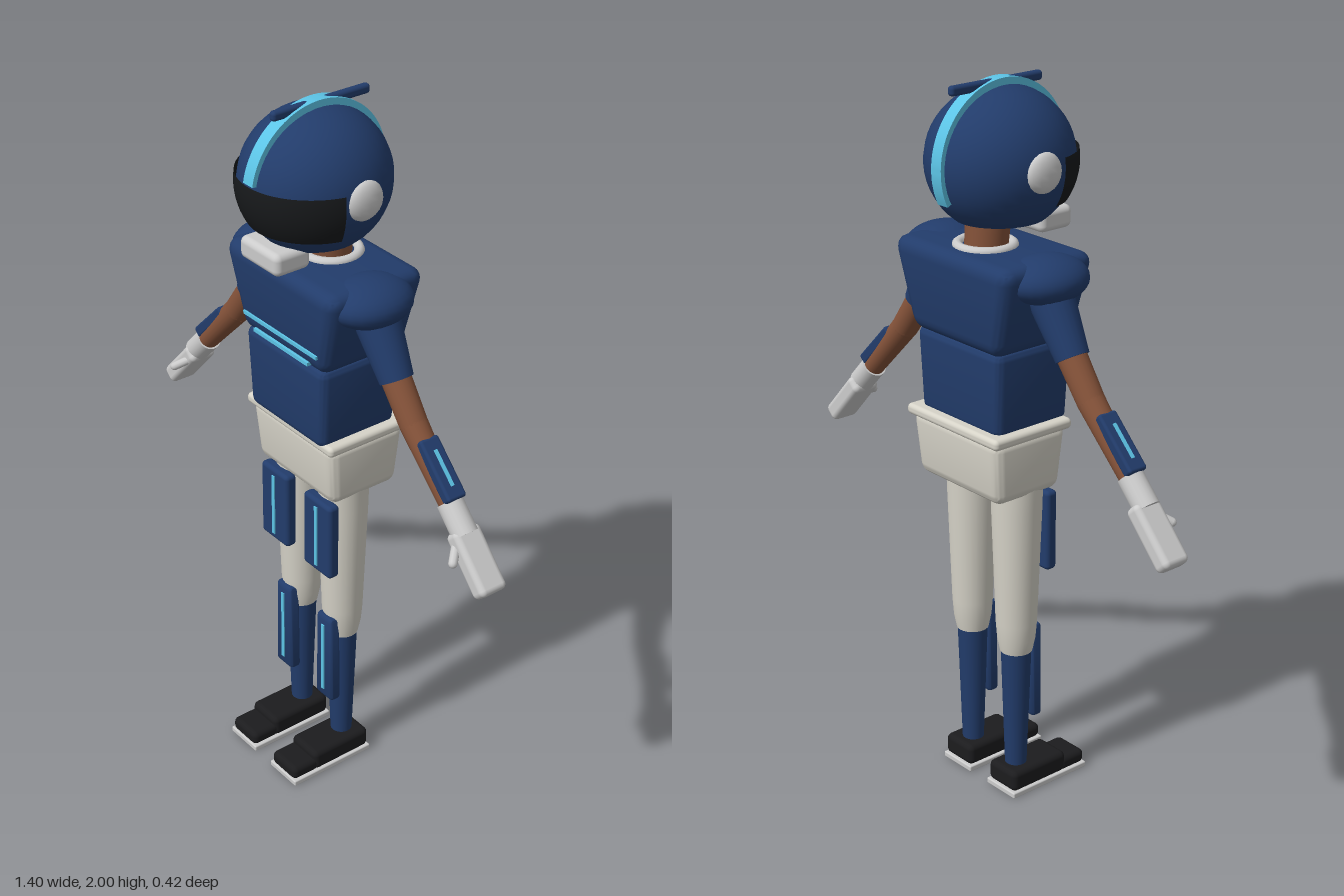
import * as THREE from 'three';
import { RoundedBoxGeometry } from 'three/addons/geometries/RoundedBoxGeometry.js';
import { mergeVertices, toCreasedNormals } from 'three/addons/utils/BufferGeometryUtils.js';

const mat = (color) => new THREE.MeshStandardMaterial({ color });
const navy = mat(0x223c6b), cyan = mat(0x5cc4e6), skin = mat(0x845239);
const cloth = mat(0xd6d3c8), white = mat(0xdadad8), black = mat(0x1c1c1e);
const visorMat = mat(0x17191b);
visorMat.side = THREE.DoubleSide;

const v = (x, y, z) => new THREE.Vector3(x, y, z);

function add(parent, name, geometry, material, x = 0, y = 0, z = 0) {
  const mesh = new THREE.Mesh(geometry, material);
  mesh.name = name;
  mesh.position.set(x, y, z);
  parent.add(mesh);
  return mesh;
}

// Rounded box whose bottom is scaled by bx, bz relative to its top
function taperedBox(w, h, d, r, bx = 1, bz = 1) {
  let g = new RoundedBoxGeometry(w, h, d, 3, r);
  if (bx === 1 && bz === 1) return g;
  const p = g.attributes.position;
  for (let i = 0; i < p.count; i++) {
    const t = 0.5 - p.getY(i) / h;
    p.setX(i, p.getX(i) * (1 + (bx - 1) * t));
    p.setZ(i, p.getZ(i) * (1 + (bz - 1) * t));
  }
  g.deleteAttribute('normal');
  g.deleteAttribute('uv');
  g = mergeVertices(g, 1e-5);
  return toCreasedNormals(g, 0.6);
}

// Round limb from a to b with radii ra and rb
function limb(parent, name, a, b, ra, rb, material) {
  const mesh = add(parent, name, new THREE.CylinderGeometry(rb, ra, a.distanceTo(b), 20), material);
  mesh.position.copy(a).add(b).multiplyScalar(0.5);
  mesh.quaternion.setFromUnitVectors(v(0, 1, 0), b.clone().sub(a).normalize());
  return mesh;
}

function ellipsoid(rx, ry, rz) {
  return new THREE.SphereGeometry(1, 24, 16).scale(rx, ry, rz);
}

function makeHead() {
  const head = new THREE.Group();
  head.name = 'head';
  head.position.y = 1.79;

  // Shell cut flat at the neck
  const cut = 2.48;
  add(head, 'helmetShell',
    new THREE.SphereGeometry(1, 32, 20, 0, Math.PI * 2, 0, cut).scale(0.19, 0.192, 0.2), navy);
  add(head, 'helmetBase',
    new THREE.CircleGeometry(Math.sin(cut), 32).rotateX(Math.PI / 2).scale(0.19, 1, 0.2),
    navy, 0, 0.192 * Math.cos(cut), 0);
  add(head, 'visor',
    new THREE.SphereGeometry(1, 32, 8, 0.25, Math.PI - 0.5, 1.42, 0.69).scale(0.197, 0.197, 0.208), visorMat);

  // Crest band running from brow to nape
  const arc = new THREE.Shape();
  arc.absarc(0, 0, 0.21, 0.17, Math.PI + 0.45, false);
  arc.absarc(0, 0, 0.185, Math.PI + 0.45, 0.17, true);
  const band = new THREE.ExtrudeGeometry(arc, { depth: 0.038, bevelEnabled: false, curveSegments: 32 });
  band.rotateY(-Math.PI / 2).translate(0.019, 0, 0);
  add(head, 'crestBand', toCreasedNormals(band, 0.6), cyan);
  add(head, 'crestFin', taperedBox(0.022, 0.026, 0.3, 0.009), navy, 0, 0.195, -0.015);

  for (const s of [-1, 1]) {
    add(head, 'earDisc', new THREE.SphereGeometry(1, 12, 10).scale(0.024, 0.053, 0.055), white, s * 0.182, 0, -0.012);
  }
  add(head, 'chinGuard', taperedBox(0.16, 0.062, 0.11, 0.018), white, 0, -0.168, 0.127);
  return head;
}

function makeTorso() {
  const torso = new THREE.Group();
  torso.name = 'torso';
  limb(torso, 'neck', v(0, 1.54, -0.05), v(0, 1.7, -0.035), 0.056, 0.062, skin);
  add(torso, 'collar', new THREE.TorusGeometry(0.073, 0.014, 10, 32).rotateX(Math.PI / 2), white, 0, 1.572, -0.05);
  add(torso, 'chest', taperedBox(0.47, 0.25, 0.31, 0.04, 0.73, 0.86), navy, 0, 1.448, -0.026);
  add(torso, 'abdomen', taperedBox(0.335, 0.24, 0.258, 0.025, 0.94, 0.94), navy, 0, 1.215, -0.022);
  add(torso, 'chestStripe', new THREE.BoxGeometry(0.31, 0.01, 0.02), cyan, 0, 1.38, 0.108);
  add(torso, 'chestStripe', new THREE.BoxGeometry(0.23, 0.01, 0.02), cyan, 0, 1.343, 0.105);
  add(torso, 'belt', taperedBox(0.37, 0.03, 0.265, 0.012), cloth, 0, 1.097, -0.04);
  add(torso, 'pelvis', taperedBox(0.354, 0.185, 0.25, 0.03, 0.94, 0.86), cloth, 0, 1.005, -0.04);
  return torso;
}

// Left arm in the model's own sense (+x)
function makeArm() {
  const arm = new THREE.Group();
  const z = -0.022;
  const elbow = v(0.375, 1.245, z), wrist = v(0.53, 1.08, z);
  add(arm, 'shoulderPad', ellipsoid(0.1, 0.063, 0.118), navy, 0.2, 1.522, -0.018);
  limb(arm, 'sleeve', v(0.215, 1.49, z), v(0.305, 1.34, z), 0.062, 0.045, navy);
  limb(arm, 'upperArm', v(0.29, 1.36, z), elbow, 0.04, 0.037, skin);
  add(arm, 'elbow', ellipsoid(0.037, 0.037, 0.037), skin, elbow.x, elbow.y, z);
  limb(arm, 'forearm', elbow, wrist, 0.037, 0.03, skin);
  limb(arm, 'cuff', v(0.522, 1.088, z), v(0.585, 1.022, z), 0.035, 0.035, white);

  // Forearm plate and hand lie along the sloping arm
  const slope = -Math.PI / 4;
  const plate = new THREE.Group();
  plate.name = 'forearmPlate';
  plate.position.set(0.484, 1.163, z);
  plate.rotation.z = slope;
  add(plate, 'plate', taperedBox(0.17, 0.032, 0.06, 0.008), navy);
  add(plate, 'plateStripe', new THREE.BoxGeometry(0.1, 0.008, 0.01), cyan, 0, 0.015, 0);
  arm.add(plate);

  const hand = add(arm, 'hand', taperedBox(0.18, 0.052, 0.085, 0.016), white, 0.628, 0.963, -0.025);
  hand.rotation.z = slope - 0.04;
  const thumb = add(arm, 'thumb', new THREE.CapsuleGeometry(0.012, 0.05, 4, 10), white, 0.598, 0.987, 0.023);
  thumb.quaternion.setFromUnitVectors(v(0, 1, 0), v(0.6, -0.5, 0.7).normalize());
  return arm;
}

// Left leg (+x)
function makeLeg() {
  const leg = new THREE.Group();
  const x = 0.093, z = -0.022;

  // Trouser leg and lower leg share one axis
  const trouser = [[0, 0.96], [0.071, 0.95], [0.069, 0.86], [0.057, 0.52], [0.053, 0.47], [0.045, 0.43], [0, 0.43]]
    .reverse().map(([r, y]) => new THREE.Vector2(r, y));
  add(leg, 'thigh', toCreasedNormals(new THREE.LatheGeometry(trouser, 24), 0.6), cloth, x, 0, z);
  limb(leg, 'shin', v(x, 0.06, z), v(x, 0.45, z), 0.03, 0.043, navy);

  add(leg, 'thighPlate', taperedBox(0.118, 0.232, 0.036, 0.012), navy, 0.095, 0.785, 0.053);
  add(leg, 'thighStripe', new THREE.BoxGeometry(0.012, 0.19, 0.008), cyan, 0.095, 0.785, 0.07);
  add(leg, 'shinPlate', taperedBox(0.066, 0.285, 0.036, 0.012, 1.15), navy, 0.093, 0.36, 0.026);
  add(leg, 'shinStripe', new THREE.BoxGeometry(0.012, 0.225, 0.008), cyan, 0.093, 0.36, 0.043);

  add(leg, 'shoe', taperedBox(0.112, 0.062, 0.195, 0.016), black, 0.095, 0.046, 0.02);
  add(leg, 'shoeToe', taperedBox(0.108, 0.042, 0.09, 0.016), black, 0.095, 0.035, 0.145);
  add(leg, 'sole', taperedBox(0.118, 0.017, 0.272, 0.004), white, 0.095, 0.0085, 0.055);
  return leg;
}

// Mirrors a part across x by reflecting vertices and reversing winding
function mirrored(part) {
  const copy = part.clone(true);
  copy.updateMatrixWorld(true);
  const out = new THREE.Group();
  copy.traverse((o) => {
    if (!o.isMesh) return;
    let g = o.geometry.clone().applyMatrix4(o.matrixWorld);
    g = g.index ? g.toNonIndexed() : g;
    g.scale(-1, 1, 1);
    for (const key of ['position', 'normal']) {
      const a = g.attributes[key], p = v(), q = v();
      for (let i = 0; i < a.count; i += 3) {
        p.fromBufferAttribute(a, i + 1);
        q.fromBufferAttribute(a, i + 2);
        a.setXYZ(i + 1, q.x, q.y, q.z);
        a.setXYZ(i + 2, p.x, p.y, p.z);
      }
    }
    add(out, o.name, g, o.material);
  });
  return out;
}

export function createModel() {
  const model = new THREE.Group();
  model.name = 'helmetedFigure';
  model.add(makeHead(), makeTorso());
  for (const [name, make] of [['Arm', makeArm], ['Leg', makeLeg]]) {
    const left = make(), right = mirrored(left);
    left.name = 'left' + name;
    right.name = 'right' + name;
    model.add(left, right);
  }
  return model;
}
